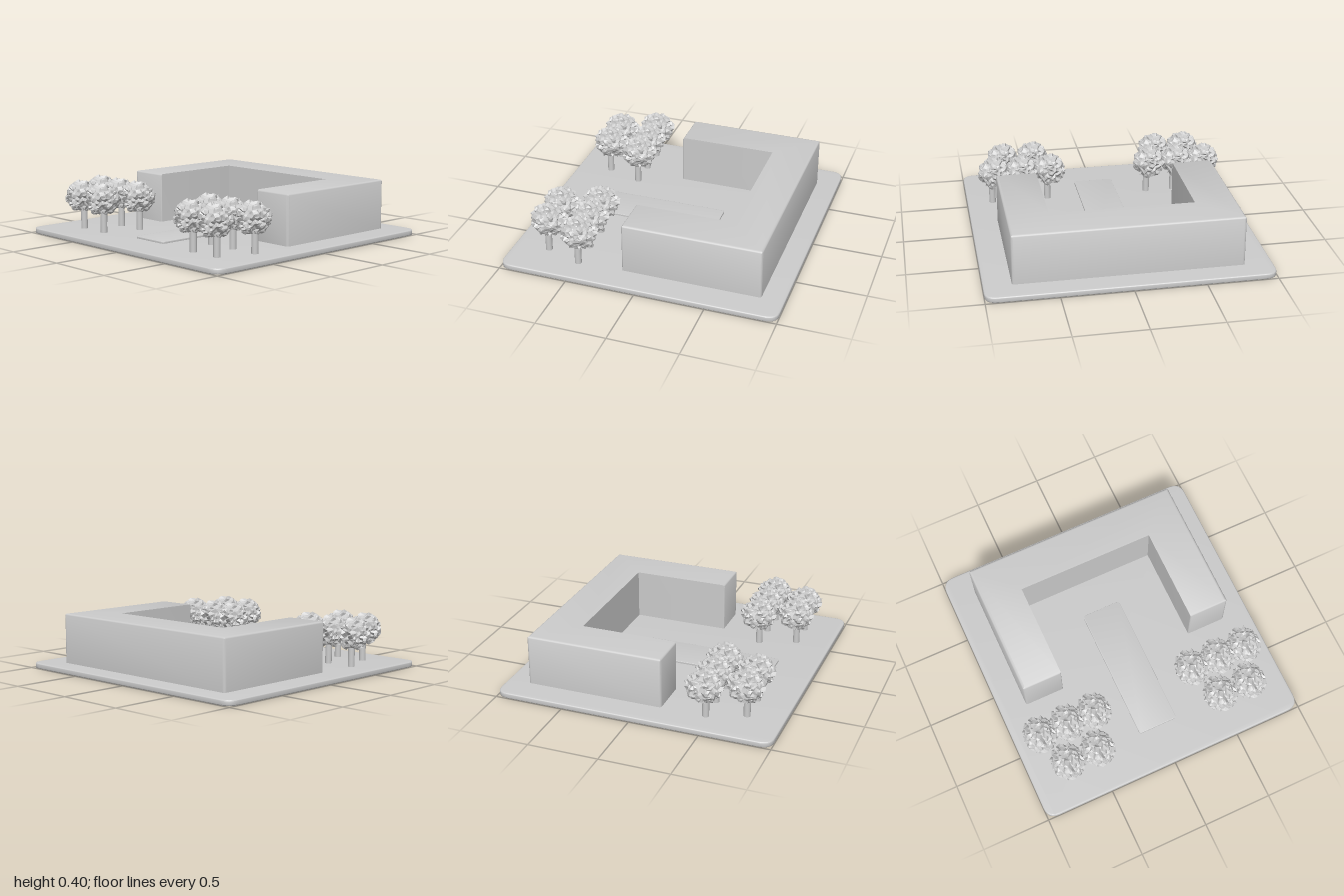
import * as THREE from 'three';
import { toCreasedNormals } from 'three/addons/utils/BufferGeometryUtils.js';

const material = new THREE.MeshStandardMaterial({ color: 0xcccccc });
const foliageMaterial = new THREE.MeshStandardMaterial({ color: 0xcccccc, flatShading: true, side: THREE.DoubleSide });

function addMesh(parent, name, geometry, mat = material) {
  const mesh = new THREE.Mesh(geometry, mat);
  mesh.name = name;
  parent.add(mesh);
  return mesh;
}

// Closed outline from [x, z, cornerRadius] points, drawn on the ground plane.
function roundedShape(corners) {
  const shape = new THREE.Shape();
  corners.forEach(([x, z, r], i) => {
    const n = corners.length;
    const p = new THREE.Vector2(x, -z);
    const toward = ([cx, cz]) => new THREE.Vector2(cx, -cz).sub(p).setLength(r).add(p);
    const a = toward(corners[(i + n - 1) % n]);
    const b = toward(corners[(i + 1) % n]);
    if (i === 0) shape.moveTo(a.x, a.y);
    else shape.lineTo(a.x, a.y);
    if (r > 0) shape.quadraticCurveTo(p.x, p.y, b.x, b.y);
  });
  shape.closePath();
  return shape;
}

function rectangle(x, z0, z1, r) {
  return roundedShape([[-x, z1, r], [x, z1, r], [x, z0, r], [-x, z0, r]]);
}

// Flat slab standing on y, with a small bevel all round.
function slab(shape, y, height, bevel) {
  const geometry = new THREE.ExtrudeGeometry(shape, {
    depth: height - 2 * bevel, bevelSize: bevel, bevelThickness: bevel,
    bevelOffset: -bevel, bevelSegments: 3, curveSegments: 8
  });
  geometry.rotateX(-Math.PI / 2).translate(0, y + bevel, 0);
  return toCreasedNormals(geometry, 0.6);
}

// U-shaped block: only its outer top edges are rounded.
function buildingGeometry() {
  const x = 0.805, xi = 0.51, z0 = -0.84, z1 = 0.16, zi = -0.545, r = 0.02;
  const bottom = 0.04, top = 0.402, bevel = 0.02, steps = 5;
  const shape = roundedShape([
    [-x, z1, r], [-xi, z1, 0.01], [-xi, zi, 0], [xi, zi, 0],
    [xi, z1, 0.01], [x, z1, r], [x, z0, r], [-x, z0, r]
  ]);
  const geometry = new THREE.ExtrudeGeometry(shape, { depth: steps, steps, bevelEnabled: false, curveSegments: 5 });
  geometry.rotateX(-Math.PI / 2);
  const pos = geometry.attributes.position;
  for (let i = 0; i < pos.count; i++) {
    const layer = Math.round(pos.getY(i));
    const angle = Math.max(0, layer - 1) / (steps - 1) * Math.PI / 2;
    const inset = bevel * (1 - Math.cos(angle));
    const y = layer === 0 ? bottom : top - bevel + bevel * Math.sin(angle);
    pos.setXYZ(i,
      THREE.MathUtils.clamp(pos.getX(i), -x + inset, x - inset), y,
      THREE.MathUtils.clamp(pos.getZ(i), z0 + inset, z1 - inset));
  }
  return toCreasedNormals(geometry, 0.6);
}

// Repeatable value in 0..1 for a direction.
function hash(v, seed) {
  const s = Math.sin(Math.round(v.x * 999) * 12.9898 + Math.round(v.y * 999) * 78.233
    + Math.round(v.z * 999) * 37.719 + seed * 4.17) * 43758.5453;
  return s - Math.floor(s);
}

// Crumpled leafy ball: a sphere whose vertices are pushed in and out.
function crownGeometry() {
  const geometry = new THREE.IcosahedronGeometry(1, 6);
  const pos = geometry.attributes.position;
  const v = new THREE.Vector3(), jitter = new THREE.Vector3();
  for (let i = 0; i < pos.count; i++) {
    v.fromBufferAttribute(pos, i).normalize();
    const fold = Math.sin(v.x * 9 + v.y * 4) * Math.sin(v.y * 8 - v.z * 5) * Math.cos(v.z * 9 + v.x * 3);
    const radius = 0.91 + 0.1 * fold + 0.17 * (hash(v, 1) - 0.5);
    jitter.set(hash(v, 2) - 0.5, hash(v, 3) - 0.5, hash(v, 4) - 0.5).multiplyScalar(0.14);
    v.multiplyScalar(radius).add(jitter);
    pos.setXYZ(i, v.x * 0.122, v.y * 0.115, v.z * 0.135);
  }
  geometry.computeVertexNormals();
  return geometry;
}

export function createModel() {
  const model = new THREE.Group();
  model.name = 'courtyardBuilding';

  addMesh(model, 'groundSlab', slab(rectangle(1, -1, 1, 0.09), 0, 0.04, 0.008));
  addMesh(model, 'building', buildingGeometry());
  addMesh(model, 'path', slab(rectangle(0.147, -0.29, 0.71, 0.02), 0.036, 0.018, 0.002));

  // Two groves of five trees: three behind, two in front.
  const trunk = new THREE.CylinderGeometry(0.024, 0.024, 0.2, 16);
  const crown = crownGeometry();
  const spots = [[-0.21, 0.48], [0, 0.48], [0.21, 0.48], [-0.11, 0.74], [0.12, 0.74]];
  for (const [name, centre] of [['rightGrove', -0.59], ['leftGrove', 0.6]]) {
    const grove = new THREE.Group();
    grove.name = name;
    for (const [x, z] of spots) {
      const tree = new THREE.Group();
      tree.name = 'tree';
      tree.position.set(centre + x, 0.04, z);
      addMesh(tree, 'trunk', trunk).position.y = 0.1;
      addMesh(tree, 'crown', crown, foliageMaterial).position.set(-0.02, 0.238, -0.003);
      grove.add(tree);
    }
    model.add(grove);
  }
  return model;
}
